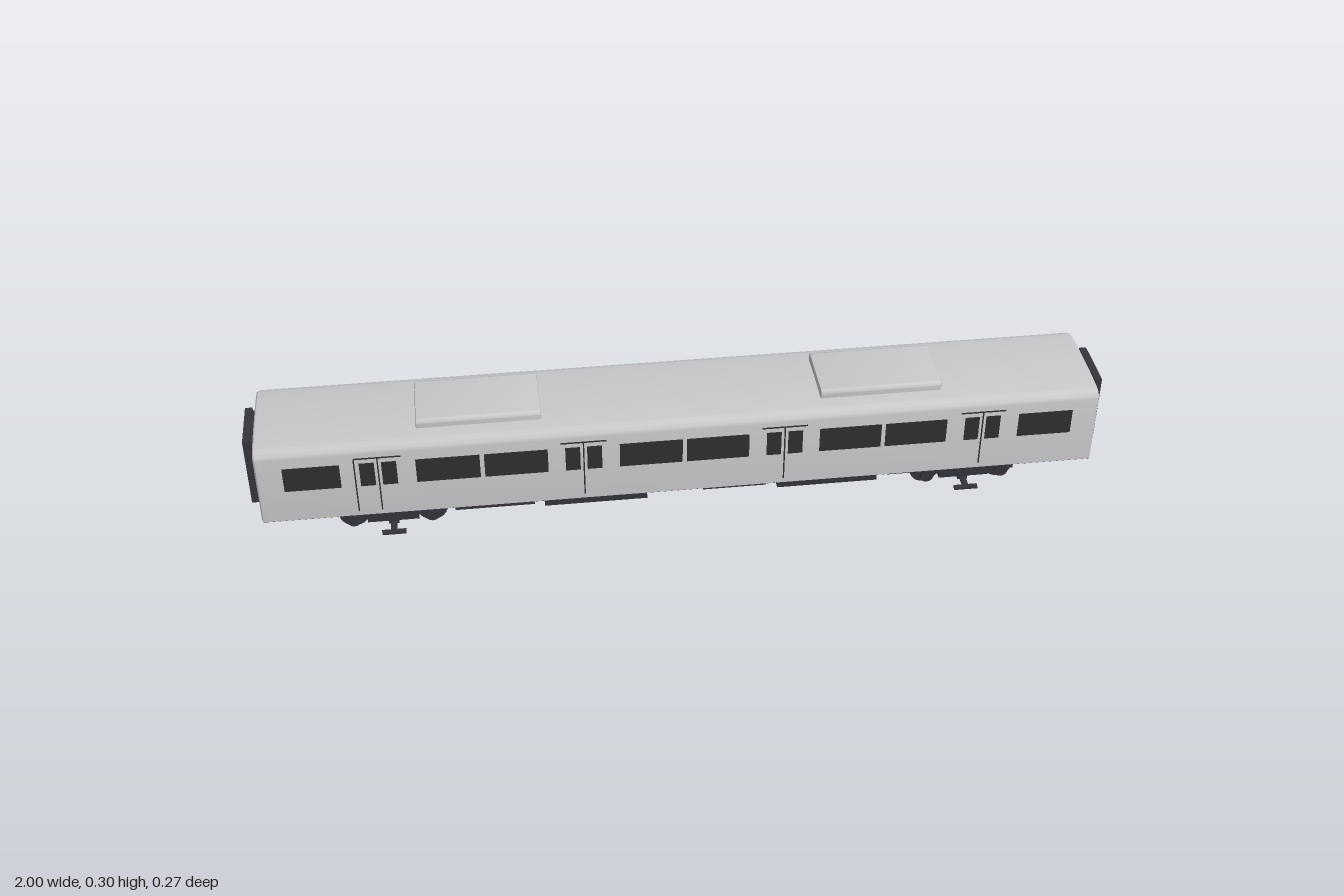
import * as THREE from 'three';
import { toCreasedNormals } from 'three/addons/utils/BufferGeometryUtils.js';

export function createModel() {
  const mat = (name, color) => {
    const m = new THREE.MeshStandardMaterial({ color });
    m.name = name;
    return m;
  };
  const shell = mat('bodyGrey', 0xc9c9cb);
  const glass = mat('windowDark', 0x2f2f33);
  const rubber = mat('gangwayDark', 0x36353c);
  const under = mat('underframeDark', 0x34343a);

  const train = new THREE.Group();
  train.name = 'railCarriage';

  const add = (name, geo, material, x, y, z, parent = train) => {
    const mesh = new THREE.Mesh(geo, material);
    mesh.name = name;
    mesh.position.set(x, y, z);
    parent.add(mesh);
    return mesh;
  };
  // Box given by its limits on each axis
  const block = (name, material, x0, x1, y0, y1, z0, z1, parent) =>
    add(name, new THREE.BoxGeometry(x1 - x0, y1 - y0, z1 - z0), material,
      (x0 + x1) / 2, (y0 + y1) / 2, (z0 + z1) / 2, parent);
  // Cross-section in z/y swept along x, with slightly bevelled ends
  const sweep = (shape, length, bevel, inset) => {
    const geo = new THREE.ExtrudeGeometry(shape, {
      depth: length - 2 * bevel, curveSegments: 8, bevelEnabled: true,
      bevelThickness: bevel, bevelSize: inset, bevelOffset: -inset, bevelSegments: 2,
    });
    geo.translate(0, 0, -(length - 2 * bevel) / 2);
    geo.rotateY(Math.PI / 2);
    return toCreasedNormals(geo, 0.6);
  };

  // Body shell with curved roof
  const section = new THREE.Shape();
  section.moveTo(-0.132, 0.082);
  section.lineTo(0.132, 0.082);
  section.lineTo(0.132, 0.25);
  section.quadraticCurveTo(0.131, 0.275, 0.108, 0.277);
  section.quadraticCurveTo(0.06, 0.282, 0, 0.282);
  section.quadraticCurveTo(-0.06, 0.282, -0.108, 0.277);
  section.quadraticCurveTo(-0.131, 0.275, -0.132, 0.25);
  section.closePath();
  add('body', sweep(section, 1.95, 0.01, 0.005), shell, 0, 0, 0);
  block('floor', under, -0.972, 0.972, 0.08, 0.084, -0.13, 0.13);

  // Roof air-conditioning pods
  const pod = new THREE.Shape();
  pod.moveTo(-0.08, 0.272);
  pod.lineTo(0.08, 0.272);
  pod.lineTo(0.08, 0.29);
  pod.quadraticCurveTo(0.08, 0.3, 0.07, 0.3);
  pod.lineTo(-0.07, 0.3);
  pod.quadraticCurveTo(-0.08, 0.3, -0.08, 0.29);
  pod.closePath();
  for (const x of [-0.466, 0.466]) add('roofPod', sweep(pod, 0.285, 0.004, 0.003), shell, x, 0, 0);

  // End gangways: a narrow bellows and a wider face plate
  for (const s of [-1, 1]) {
    const g = new THREE.Group();
    g.name = 'gangway';
    g.rotation.y = s > 0 ? 0 : Math.PI;
    train.add(g);
    block('bellows', rubber, 0.97, 0.985, 0.095, 0.26, -0.06, 0.06, g);
    block('facePlate', rubber, 0.983, 1, 0.09, 0.265, -0.066, 0.066, g);
  }

  // Windows and doors, as thin plates on both sides
  const windows = [[0.005, 0.15], [0.315, 0.46], [0.47, 0.615], [0.786, 0.914]];
  const doors = [0.233, 0.7];
  for (const side of [-1, 1]) {
    const plate = (name, x0, x1, y0, y1) =>
      block(name, glass, x0, x1, y0, y1, side * 0.1325 - 0.001, side * 0.1325 + 0.001);
    for (const end of [-1, 1]) {
      for (const [a, b] of windows) plate('window', Math.min(end * a, end * b), Math.max(end * a, end * b), 0.167, 0.231);
      for (const d of doors) {
        const x = end * d;
        plate('doorWindow', x - 0.042, x - 0.008, 0.167, 0.231);
        plate('doorWindow', x + 0.008, x + 0.042, 0.167, 0.231);
        plate('doorGap', x - 0.0015, x + 0.0015, 0.095, 0.244);
        plate('doorHeader', x - 0.053, x + 0.053, 0.243, 0.246);
      }
      // Edge of the outer pocket door
    }
    plate('doorEdge', -side * 0.753 - 0.0015, -side * 0.753 + 0.0015, 0.095, 0.244);
  }

  // Equipment cases below the floor: x from, x to, bottom
  const cases = [
    [-0.535, -0.35, 0.049], [-0.326, -0.085, 0.041], [-0.06, 0.02, 0.06],
    [0.048, 0.198, 0.053], [0.225, 0.465, 0.042], [0.49, 0.55, 0.055],
  ];
  for (const [a, b, y] of cases) block('equipmentCase', under, a, b, y, 0.082, -0.101, 0.101);

  // Bogies
  const wheelGeo = new THREE.CylinderGeometry(0.035, 0.035, 0.01, 24).rotateX(Math.PI / 2);
  const axleGeo = new THREE.CylinderGeometry(0.007, 0.007, 0.17, 10).rotateX(Math.PI / 2);
  const hubGeo = new THREE.CylinderGeometry(0.016, 0.016, 0.02, 14).rotateX(Math.PI / 2);
  for (const bx of [-0.68, 0.68]) {
    const bogie = new THREE.Group();
    bogie.name = 'bogie';
    bogie.position.x = bx;
    train.add(bogie);
    block('bolster', under, -0.035, 0.035, 0.045, 0.082, -0.075, 0.075, bogie);
    block('crossBeam', under, -0.06, 0.06, 0.032, 0.06, -0.08, 0.08, bogie);
    block('motor', under, -0.05, 0.05, 0.025, 0.05, -0.03, 0.03, bogie);
    for (const wx of [-0.091, 0.091]) {
      add('axle', axleGeo, under, wx, 0.035, 0, bogie);
      for (const s of [-1, 1]) {
        add('wheel', wheelGeo, under, wx, 0.035, s * 0.063, bogie);
        add('axleBox', hubGeo, under, wx, 0.037, s * 0.088, bogie);
      }
    }
    for (const s of [-1, 1]) {
      const half = new THREE.Group();
      half.name = 'bogieSide';
      half.rotation.y = s > 0 ? 0 : Math.PI;
      bogie.add(half);
      block('sideFrame', under, -0.12, 0.12, 0.04, 0.062, 0.078, 0.093, half);
      block('frameDrop', under, -0.06, 0.06, 0.026, 0.042, 0.078, 0.093, half);
      block('airSpring', under, -0.028, 0.028, 0.05, 0.082, 0.074, 0.1, half);
      // Current collector shoe
      block('shoeHanger', under, -0.012, 0.012, 0.013, 0.03, 0.08, 0.088, half);
      block('shoeArm', under, -0.007, 0.007, 0.014, 0.02, 0.085, 0.12, half);
      block('shoe', under, -0.028, 0.028, 0.012, 0.018, 0.115, 0.127, half);
    }
  }
  return train;
}
